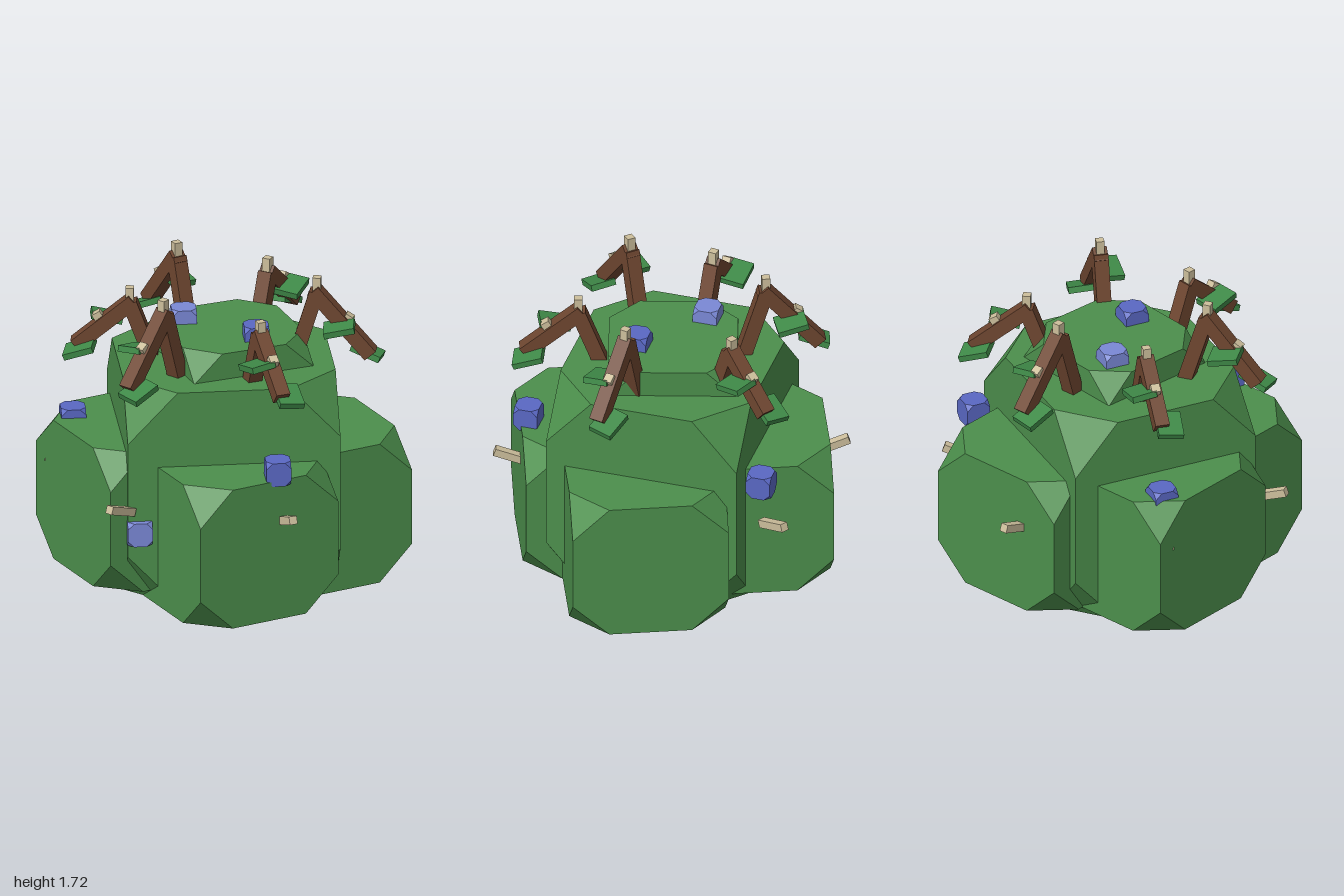
import * as THREE from 'three';
import { ConvexGeometry } from 'three/addons/geometries/ConvexGeometry.js';

const mat = (name, color) => {
  const m = new THREE.MeshStandardMaterial({ color });
  m.name = name;
  return m;
};

// Box whose eight corners are sliced off; c is the cut as a fraction of each side
function cutBox(w, h, d, c) {
  const pts = [];
  for (const x of [-1, 1]) for (const y of [-1, 1]) for (const z of [-1, 1]) {
    for (let axis = 0; axis < 3; axis++) {
      const p = [x, y, z];
      p[axis] *= 1 - 2 * c;
      pts.push(new THREE.Vector3(p[0] * w / 2, p[1] * h / 2, p[2] * d / 2));
    }
  }
  return new ConvexGeometry(pts);
}

export function createModel() {
  const model = new THREE.Group();
  model.name = 'berryBush';
  const green = mat('bushGreen', 0x4c8f4c);
  const leafGreen = mat('leafGreen', 0x3f8a48);
  const brown = mat('branchBrown', 0x6e4630);
  const tan = mat('thornTan', 0xcdbf9c);
  const blue = mat('berryBlue', 0x5a68c4);
  const paleBlue = mat('paleBerryBlue', 0x7a88d6);

  function add(parent, name, geometry, material, x, y, z, ry = 0) {
    const mesh = new THREE.Mesh(geometry, material);
    mesh.name = name;
    mesh.position.set(x, y, z);
    mesh.rotation.y = ry;
    parent.add(mesh);
    return mesh;
  }

  // Bush body
  add(model, 'core', cutBox(1.16, 1.24, 1.08, 0.235), green, 0, 0.62, 0);
  add(model, 'crown', cutBox(0.7, 0.66, 0.7, 0.235), green, 0.035, 1.06, -0.015, 0.28);
  const lobe = cutBox(0.85, 0.81, 0.85, 0.235);
  const turn = Math.PI / 8;
  add(model, 'frontLobe', lobe, green, 0, 0.405, 0.43, turn);
  add(model, 'leftLobe', lobe, green, 0.445, 0.405, 0.03, turn);
  add(model, 'backLobe', lobe, green, -0.005, 0.465, -0.43, turn);
  add(model, 'rightLobe', lobe, green, -0.445, 0.465, 0, turn);

  // Berries
  const berry = cutBox(0.135, 0.135, 0.135, 0.25);
  const berries = [
    [0.215, 0.85, 0.75, blue], [0.48, 0.85, -0.65, blue], [-0.81, 0.85, -0.13, blue],
    [0.16, 1.4, 0.15, blue], [-0.205, 1.4, -0.14, paleBlue], [-0.515, 0.43, 0.51, paleBlue],
  ];
  for (const [x, y, z, m] of berries) add(model, 'berry', berry, m, x, y, z);

  // Square bar between two points of a branch's own upright plane
  function bar(parent, name, material, x0, y0, x1, y1, thick) {
    const len = Math.hypot(x1 - x0, y1 - y0);
    const mesh = add(parent, name, new THREE.BoxGeometry(len, thick, thick), material,
      (x0 + x1) / 2, (y0 + y1) / 2, 0);
    mesh.rotation.z = Math.atan2(y1 - y0, x1 - x0);
  }

  // Six bent branches, alternately low and high, each above a side thorn
  const leaf = new THREE.BoxGeometry(0.17, 0.035, 0.14);
  [13, 73, 136, 189, 246, 304].forEach((deg, i) => {
    const high = i % 2 === 0 ? 0.095 : 0;
    const branch = new THREE.Group();
    branch.name = 'branch';
    branch.rotation.y = -deg * Math.PI / 180;
    model.add(branch);

    const top = 1.535 + high;
    bar(branch, 'innerLimb', brown, 0.36, 1.14, 0.51, top, 0.08);
    bar(branch, 'outerLimb', brown, 0.49, top + 0.01, 0.805, 1.28, 0.08);
    add(branch, 'tipThorn', new THREE.BoxGeometry(0.045, 0.08, 0.045), tan, 0.51, top + 0.045, 0);
    bar(branch, 'limbThorn', tan, 0.645, 1.39 + high / 3, 0.695, 1.47 + high / 3, 0.05);

    const upper = add(branch, 'upperLeaf', leaf, leafGreen, 0.64, 1.42 + high / 3, 0.075);
    upper.rotation.set(0.1, 0.1, 0.2);
    const lower = add(branch, 'lowerLeaf', leaf, leafGreen, 0.78, 1.275, -0.05);
    lower.rotation.set(-0.1, -0.1, -0.35);

    bar(branch, 'sideThorn', tan, 0.77, 0.555, 0.965, 0.625, 0.045);
  });
  return model;
}
